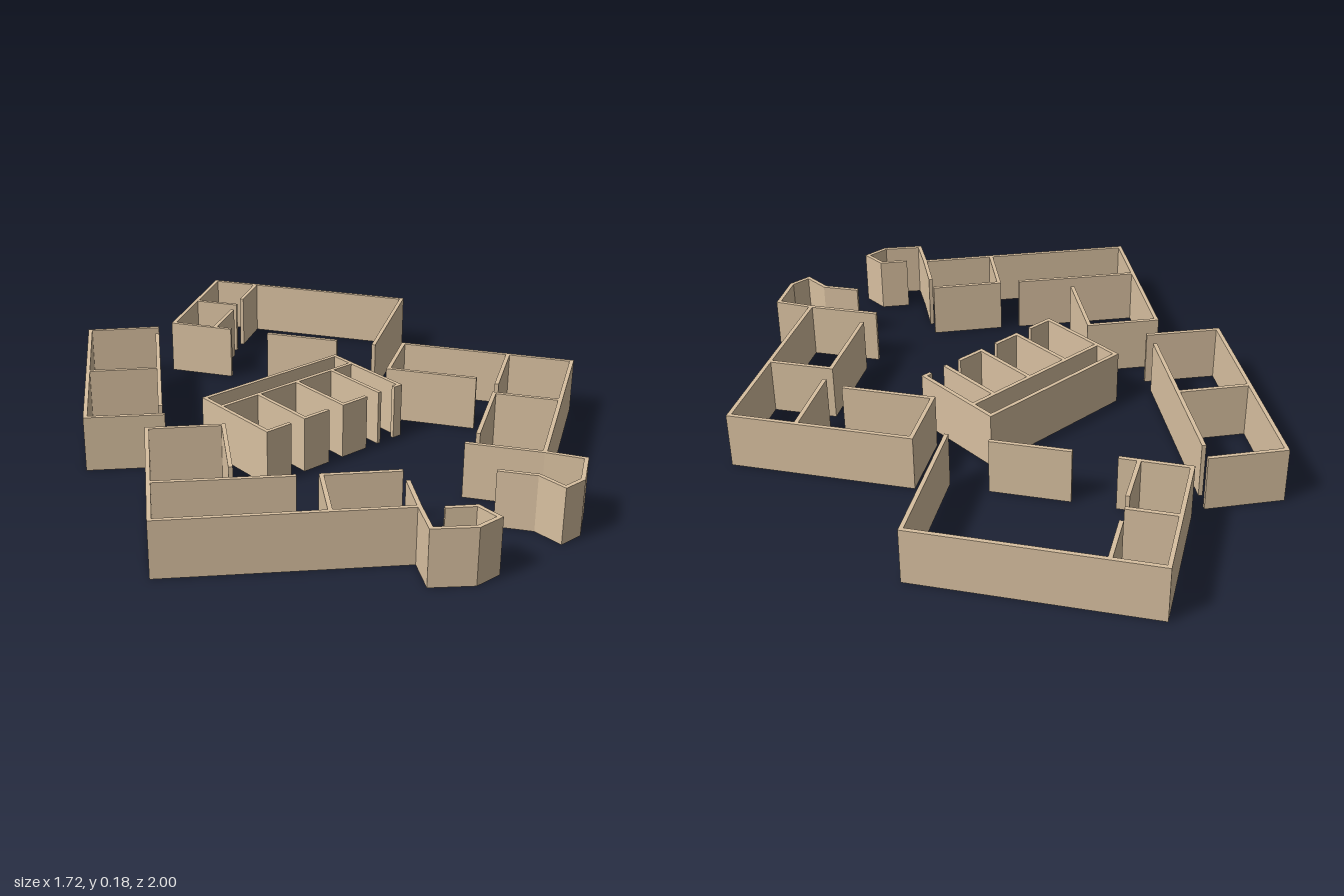
import * as THREE from 'three';

const HEIGHT = 0.18;
const HALF = 0.0065; // half the wall thickness

const wallMaterial = new THREE.MeshStandardMaterial({ color: 0xd8c0a0 });
wallMaterial.name = 'sandstone';

// Offset a plan path [x, z] to one side, with mitred corners
function offsetPath(pts, d) {
  const normals = pts.slice(1).map((p, i) => {
    const v = p.clone().sub(pts[i]).normalize();
    return new THREE.Vector2(-v.y, v.x);
  });
  return pts.map((p, i) => {
    const a = normals[Math.max(i - 1, 0)];
    const b = normals[Math.min(i, normals.length - 1)];
    const m = a.clone().add(b).normalize();
    return p.clone().addScaledVector(m, d / m.dot(a));
  });
}

// One wall run of constant thickness, standing on the ground
function wall(path) {
  const pts = path.map(([x, z]) => new THREE.Vector2(x, -z));
  const outline = [...offsetPath(pts, HALF), ...offsetPath(pts, -HALF).reverse()];
  const geo = new THREE.ExtrudeGeometry(new THREE.Shape(outline), { depth: HEIGHT, bevelEnabled: false });
  geo.rotateX(-Math.PI / 2);
  return new THREE.Mesh(geo, wallMaterial);
}

// Plans: the first run of each wing is its outer wall, the others are partitions
const wings = {
  backRightWing: [
    [[-0.037, -0.729], [-0.24, -0.858], [-0.64, -0.25], [-0.438, -0.114]],
    [[-0.077, -0.681], [-0.414, -0.174]],
    [[-0.441, -0.552], [-0.248, -0.428]],
  ],
  backLeftWing: [
    [[0.15, -0.552], [0.03, -0.731], [0.414, -0.991], [0.824, -0.391], [0.436, -0.121]],
    [[0.226, -0.863], [0.314, -0.734]],
    [[0.5, -0.86], [0.362, -0.768]],
    [[0.119, -0.605], [0.269, -0.702]],
    [[0.224, -0.438], [0.367, -0.232]],
  ],
  frontRightWing: [
    [[-0.499, 0.3], [-0.346, 0.063], [-0.539, -0.065], [-0.851, 0.407], [-0.246, 0.81], [-0.166, 0.681]],
    [[-0.246, 0.81], [-0.306, 0.915], [-0.203, 0.989], [-0.122, 0.989], [-0.122, 0.908], [-0.198, 0.857]],
    [[-0.731, 0.227], [-0.388, 0.459]],
    [[-0.446, 0.673], [-0.33, 0.5], [-0.135, 0.628]],
  ],
  frontLeftWing: [
    [[0.502, 0.304], [0.336, 0.063], [0.525, -0.065], [0.851, 0.407], [0.264, 0.806], [0.129, 0.614]],
    [[0.264, 0.806], [0.325, 0.91], [0.216, 0.989], [0.143, 0.989], [0.141, 0.894], [0.071, 0.797]],
    [[0.729, 0.232], [0.515, 0.38]],
    [[0.578, 0.591], [0.459, 0.422], [0.203, 0.597]],
  ],
  centreBlock: [
    [[0.245, 0.182], [0.271, 0.182], [0.271, -0.133], [-0.271, -0.133], [-0.271, 0.182], [-0.183, 0.182]],
    [[-0.271, -0.049], [0.271, -0.049]],
    [[-0.124, -0.049], [-0.124, 0.182], [-0.03, 0.182]],
    [[0.032, -0.049], [0.032, 0.182], [0.127, 0.182]],
    [[0.182, -0.049], [0.182, 0.188]],
  ],
};

export function createModel() {
  const model = new THREE.Group();
  model.name = 'buildingWalls';
  for (const [name, runs] of Object.entries(wings)) {
    const wing = new THREE.Group();
    wing.name = name;
    runs.forEach((run, i) => {
      const mesh = wall(run);
      mesh.name = i === 0 ? 'outerWall' : `partition${i}`;
      wing.add(mesh);
    });
    model.add(wing);
  }
  return model;
}
